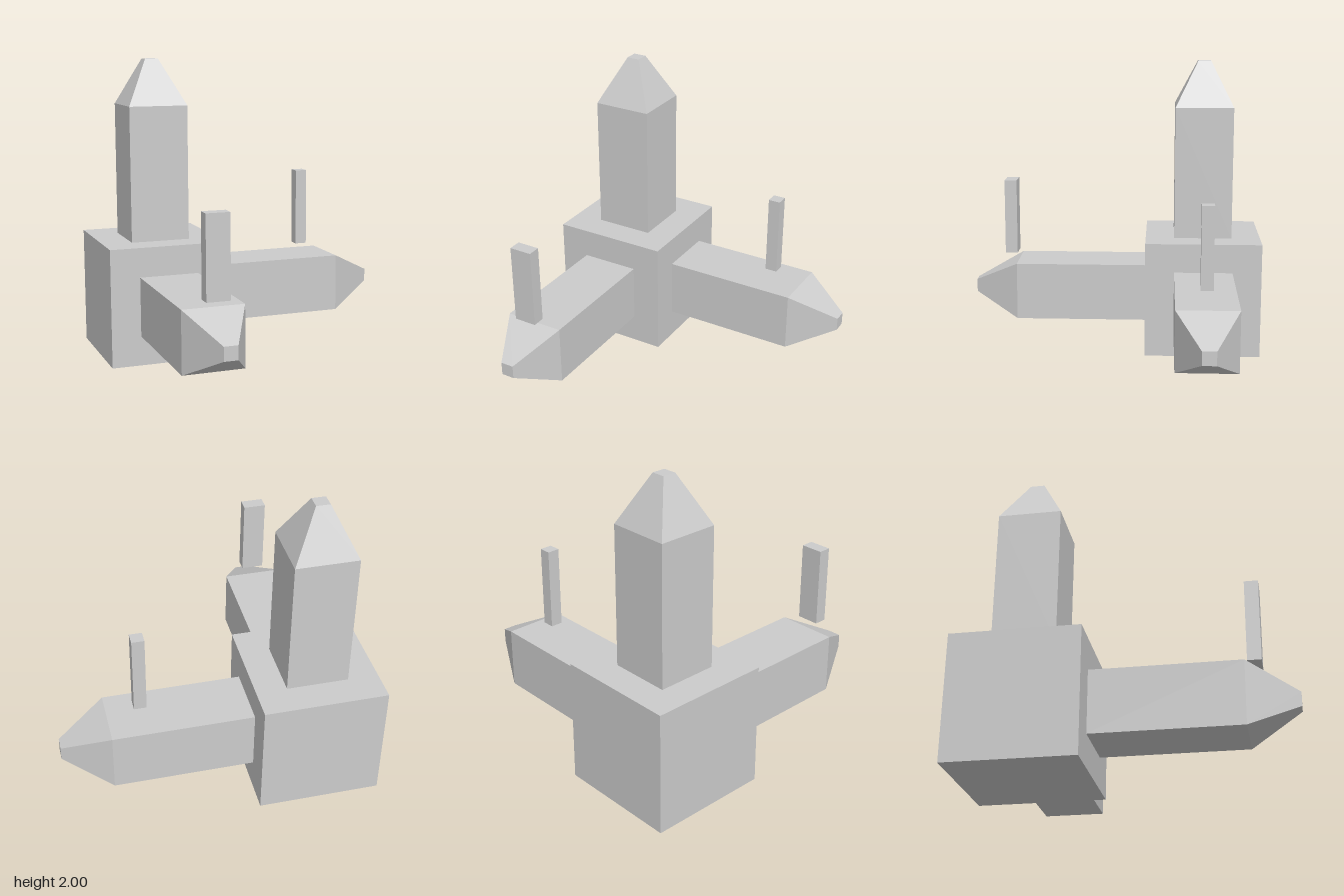
import * as THREE from 'three';

const HUB = 0.79; // edge of the corner cube
const CENTRE = new THREE.Vector3(-0.606, 0.396, -0.606);

const material = new THREE.MeshStandardMaterial({
  color: 0xcccccc,
  flatShading: true,
});

// Square arm with a blunt pyramid tip, running along +y from the hub centre
function armGeometry() {
  const corner = (half) => half * Math.SQRT2;
  const profile = [
    [0, 0.39],
    [corner(0.198), 0.39],
    [corner(0.198), 1.298],
    [corner(0.044), 1.605],
    [0, 1.605],
  ].map(([r, y]) => new THREE.Vector2(r, y));
  return new THREE.LatheGeometry(profile, 4, Math.PI / 4);
}

// Box given by its lowest and highest corners
function block(name, min, max) {
  const size = max.map((v, i) => v - min[i]);
  const mesh = new THREE.Mesh(new THREE.BoxGeometry(...size), material);
  mesh.position.set(...max.map((v, i) => (v + min[i]) / 2));
  mesh.name = name;
  return mesh;
}

export function createModel() {
  const model = new THREE.Group();
  model.name = 'axisMarker';

  // Corner cube that joins the three arms
  const hub = new THREE.Mesh(new THREE.BoxGeometry(HUB, HUB, HUB), material);
  hub.position.copy(CENTRE);
  hub.name = 'hub';
  model.add(hub);

  // One arm for each axis
  const geometry = armGeometry();
  const arms = [
    ['upArm', 0, 0],
    ['sideArm', 0, -Math.PI / 2],
    ['frontArm', Math.PI / 2, 0],
  ];
  for (const [name, rx, rz] of arms) {
    const arm = new THREE.Mesh(geometry, material);
    arm.position.copy(CENTRE);
    arm.rotation.set(rx, 0, rz);
    arm.name = name;
    model.add(arm);
  }

  // Plain upright posts hovering above the two horizontal arms
  model.add(
    block('sidePost', [0.445, 0.67, -0.645], [0.525, 1.2, -0.565]),
    block('frontPost', [-0.68, 0.645, 0.7], [-0.53, 1.165, 0.785]),
  );

  return model;
}
